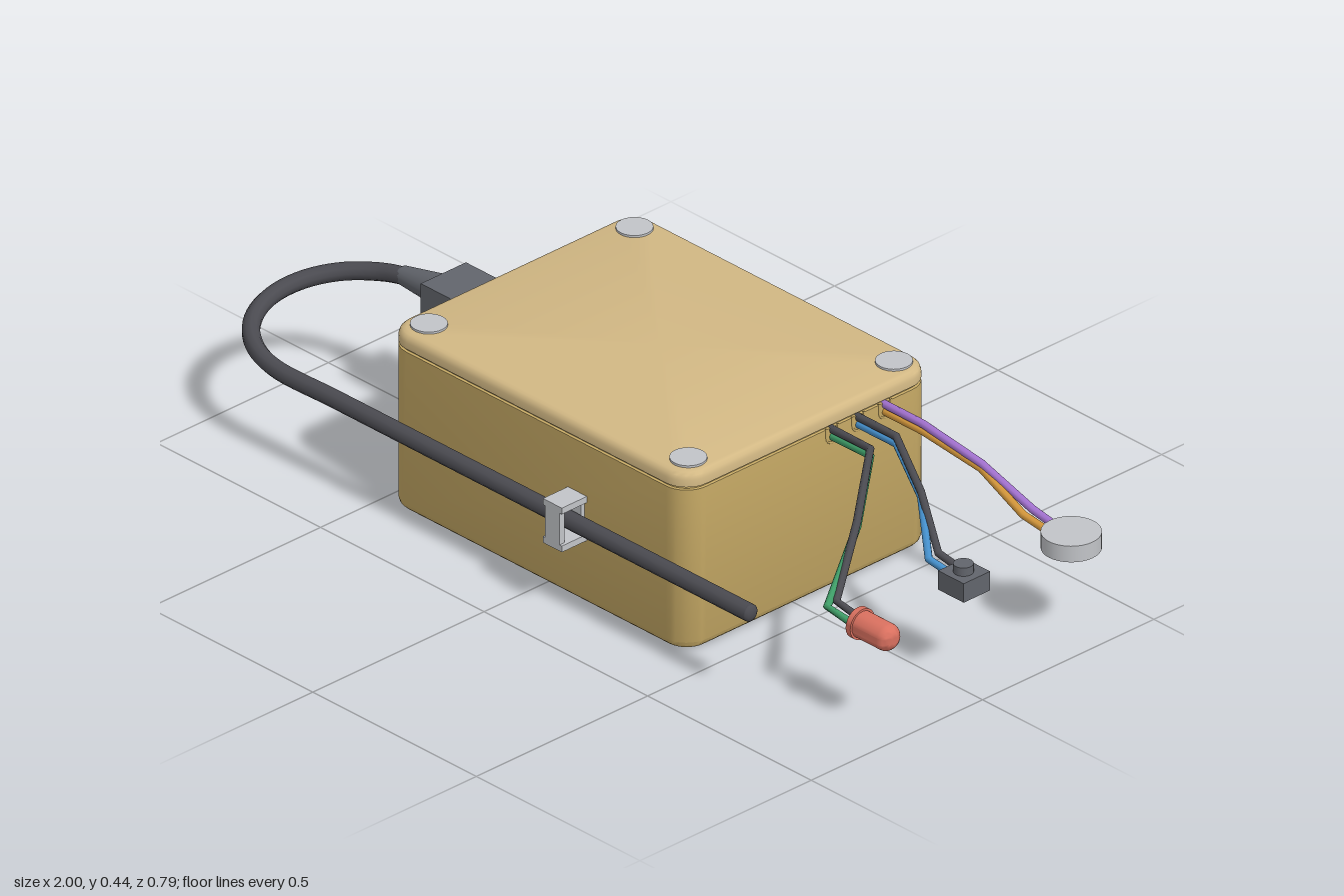
import * as THREE from 'three';
import { toCreasedNormals } from 'three/addons/utils/BufferGeometryUtils.js';

const mat = (name, color) => Object.assign(new THREE.MeshStandardMaterial({ color }), { name });
const V = (x, y, z) => new THREE.Vector3(x, y, z);

// Curve with sharp kinks: one tube segment per straight run
class Polyline extends THREE.Curve {
  constructor(points) { super(); this.points = points; }
  getPoint(t, target = V(0, 0, 0)) {
    const n = this.points.length - 1;
    const i = Math.min(Math.floor(t * n + 1e-6), n - 1);
    return target.lerpVectors(this.points[i], this.points[i + 1], t * n - i);
  }
  getPointAt(t, target) { return this.getPoint(t, target); }
  getTangentAt(t, target) { return this.getTangent(t, target); }
}

// Rounded-rectangle block from stacked sections [inset, y]
function roundedBlock(width, depth, radius, sections, cx, cz) {
  const corners = [[1, 1], [-1, 1], [-1, -1], [1, -1]], steps = 8;
  const rings = sections.map(([inset, y]) => {
    const ring = [];
    corners.forEach(([sx, sz], q) => {
      for (let k = 0; k <= steps; k++) {
        const a = (q + k / steps) * Math.PI / 2;
        ring.push(V(cx + sx * (width / 2 - radius) + Math.cos(a) * (radius - inset), y,
          cz + sz * (depth / 2 - radius) + Math.sin(a) * (radius - inset)));
      }
    });
    return ring;
  });
  const tris = [], n = rings[0].length, last = rings.length - 1;
  const bottom = V(cx, sections[0][1], cz), top = V(cx, sections[last][1], cz);
  for (let i = 0; i < n; i++) {
    const j = (i + 1) % n;
    for (let r = 0; r < last; r++) {
      const lo = rings[r], up = rings[r + 1];
      tris.push(lo[i], up[i], lo[j], up[i], up[j], lo[j]);
    }
    tris.push(bottom, rings[0][i], rings[0][j], top, rings[last][j], rings[last][i]);
  }
  return toCreasedNormals(new THREE.BufferGeometry().setFromPoints(tris), 0.6);
}

export function createModel() {
  const model = new THREE.Group();
  model.name = 'wiredEnclosure';
  const tan = mat('caseTan', 0xc8ab66), lidTan = mat('lidTan', 0xd2b884);
  const metal = mat('lightGrey', 0xc2c4c8), black = mat('cableDark', 0x4b4b51);
  const grey = mat('plugGrey', 0x62656c), red = mat('ledRed', 0xd9705f);
  const green = mat('wireGreen', 0x3f9e68), blue = mat('wireBlue', 0x4590cc);
  const purple = mat('wirePurple', 0xa070cc), orange = mat('wireOrange', 0xd0943a);

  const add = (name, geometry, material, x = 0, y = 0, z = 0, parent = model) => {
    const mesh = new THREE.Mesh(geometry, material);
    mesh.name = name;
    mesh.position.set(x, y, z);
    parent.add(mesh);
    return mesh;
  };

  // Case and lid
  const cx = -0.023, cz = -0.035;
  add('caseBody', roundedBlock(0.914, 0.722, 0.06, [[0.02, 0], [0.01, 0.004], [0.003, 0.011],
    [0, 0.02], [0, 0.39], [0.006, 0.391], [0.006, 0.397]], cx, cz), tan);
  add('lid', roundedBlock(0.914, 0.722, 0.06, [[0.006, 0.394], [0, 0.397], [0, 0.413],
    [0.003, 0.422], [0.009, 0.428], [0.017, 0.43]], cx, cz), lidTan);

  // Lid screws
  for (const x of [-0.42, 0.373]) {
    for (const z of [-0.34, 0.26]) {
      add('lidScrew', new THREE.CylinderGeometry(0.04, 0.04, 0.012, 24), metal, x, 0.429, z);
    }
  }

  // Power plug, strain relief and looping cable
  add('plug', new THREE.BoxGeometry(0.197, 0.088, 0.132), grey, -0.577, 0.296, -0.026);
  const relief = add('strainRelief', new THREE.CylinderGeometry(0.021, 0.037, 0.125, 16), grey,
    -0.736, 0.291, -0.025);
  relief.rotation.z = Math.PI / 2 + 0.09;
  const loop = [V(-0.68, 0.297, -0.026), V(-0.8, 0.285, -0.022)];
  for (let i = 1; i < 8; i++) {
    const a = i / 8 * Math.PI;
    loop.push(V(-0.79 - 0.19 * Math.sin(a), 0.283 - 0.073 * i / 8, 0.165 - 0.188 * Math.cos(a)));
  }
  loop.push(V(-0.79, 0.21, 0.354), V(-0.6, 0.21, 0.354), V(0, 0.21, 0.354), V(0.66, 0.21, 0.354));
  add('powerCable', new THREE.TubeGeometry(new THREE.CatmullRomCurve3(loop), 120, 0.02, 10), black);
  const tip = add('cableEnd', new THREE.SphereGeometry(0.02, 10, 8), black, 0.66, 0.21, 0.354);
  tip.scale.x = 0.5;

  // Square cable clip on the front
  const clip = new THREE.Group();
  clip.name = 'cableClip';
  clip.position.set(0.103, 0.212, 0.361);
  model.add(clip);
  for (const s of [-1, 1]) {
    add('clipBar', new THREE.BoxGeometry(0.058, 0.015, 0.076), metal, 0, s * 0.046, 0, clip);
    add('clipWall', new THREE.BoxGeometry(0.044, 0.09, 0.014), metal, 0, 0, s * 0.031, clip);
  }

  // Wire pairs: [name, start z, middle z, end z of each wire, lower wire colour, upper wire colour]
  const pairs = [
    ['led', -0.102, 0.075, 0.236, 0.262, green, black],
    ['button', -0.178, -0.112, -0.062, -0.034, blue, black],
    ['buzzer', -0.256, -0.288, -0.336, -0.31, orange, purple],
  ];
  for (const [name, z0, z1, zUpper, zLower, lower, upper] of pairs) {
    [[upper, 0.385, zUpper], [lower, 0.368, zLower]].forEach(([material, y, zEnd], i) => {
      const path = new Polyline([V(0.4, y, z0), V(0.55, y, z0), V(0.695, 0.336 - i * 0.012, z1),
        V(0.8, 0.25 - i * 0.004, zEnd), V(0.885, 0.236, zEnd)]);
      add(name + 'Wire', new THREE.TubeGeometry(path, 4, 0.009, 8), material);
    });
    // U-shaped wire outlet rim
    const rim = [V(0.433, 0.393, z0 - 0.017)];
    for (let k = 0; k <= 8; k++) {
      const a = Math.PI * (1 + k / 8);
      rim.push(V(0.433, 0.37 + 0.017 * Math.sin(a), z0 + 0.017 * Math.cos(a)));
    }
    rim.push(V(0.433, 0.393, z0 + 0.017));
    add('wireOutlet', new THREE.TubeGeometry(new Polyline(rim), rim.length - 1, 0.003, 6), tan);
  }

  // Indicator lamp with flange and domed tip, pointing along +x
  const profile = [[0, 0], [0.036, 0], [0.036, 0.014], [0.031, 0.014], [0.031, 0.088]];
  for (let k = 1; k <= 6; k++) {
    const a = k / 6 * Math.PI / 2;
    profile.push([Math.max(0, 0.031 * Math.cos(a)), 0.088 + 0.026 * Math.sin(a)]);
  }
  const lamp = add('indicatorLamp', toCreasedNormals(new THREE.LatheGeometry(
    profile.map(([r, y]) => new THREE.Vector2(r, y)), 24), 0.6), red, 0.88, 0.237, 0.249);
  lamp.rotation.z = -Math.PI / 2;

  // Push button
  add('buttonBase', new THREE.BoxGeometry(0.078, 0.046, 0.077), grey, 0.905, 0.236, -0.037);
  add('buttonCap', new THREE.CylinderGeometry(0.022, 0.022, 0.022, 20), grey, 0.905, 0.268, -0.035);

  // Buzzer disc
  add('buzzer', new THREE.CylinderGeometry(0.065, 0.065, 0.039, 32), metal, 0.933, 0.236, -0.323);

  return model;
}
